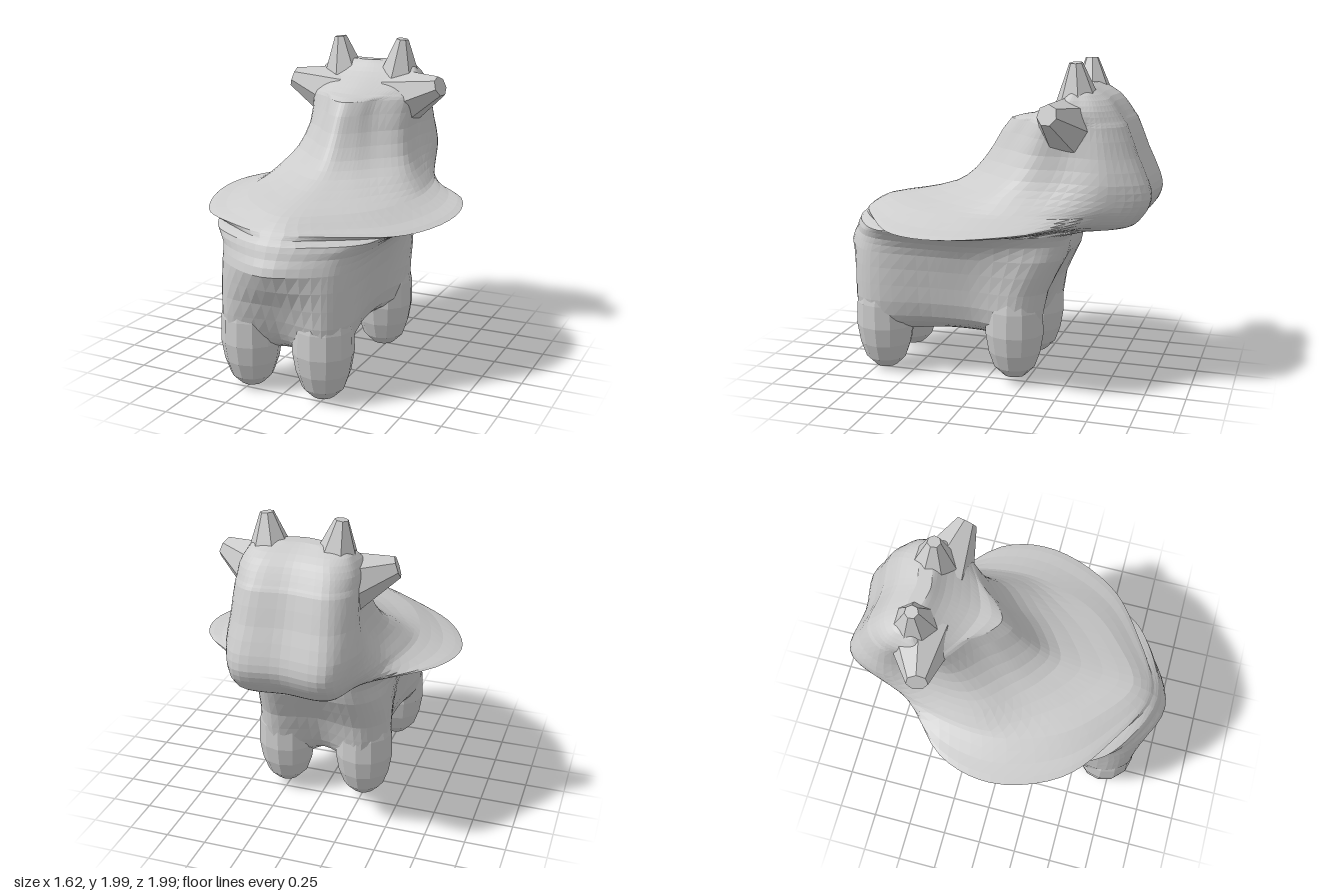
import * as THREE from 'three';

const material = new THREE.MeshStandardMaterial({ color: 0xcccccc, flatShading: true });
const STEPS = 70;

// Body sections: y, zBack, backCorner, flank, frontCorner, zFrontCorner, zRump
const BODY = [
  [0.27, -0.22, 0.20, 0.14, 0.22, 0.70, 0.66],
  [0.32, -0.31, 0.33, 0.25, 0.35, 0.82, 0.74],
  [0.40, -0.35, 0.41, 0.35, 0.40, 0.85, 0.79],
  [0.60, -0.38, 0.42, 0.39, 0.41, 0.86, 0.88],
  [0.81, -0.47, 0.40, 0.43, 0.41, 0.85, 0.99],
  [0.90, -0.49, 0.38, 0.48, 0.43, 0.81, 0.95],
  [0.97, -0.51, 0.40, 0.58, 0.50, 0.76, 0.92],
];

// Skirt, neck and head sections: y, zBack, backHalfWidth, zWidest, halfWidth, zFront, frontHalfWidth
const HEAD = [
  [1.00, -0.77, 0.30, 0.05, 0.70, 0.89, 0.58],
  [1.025, -0.86, 0.36, 0.05, 0.81, 0.87, 0.66],
  [1.05, -0.90, 0.38, 0.03, 0.69, 0.84, 0.55],
  [1.10, -0.94, 0.39, 0.00, 0.55, 0.75, 0.43],
  [1.14, -0.965, 0.39, -0.05, 0.50, 0.55, 0.34],
  [1.21, -0.985, 0.39, -0.10, 0.43, 0.28, 0.27],
  [1.30, -0.965, 0.39, -0.20, 0.37, 0.15, 0.22],
  [1.45, -0.90, 0.37, -0.30, 0.33, 0.035, 0.18],
  [1.63, -0.83, 0.35, -0.38, 0.34, -0.085, 0.17],
  [1.66, -0.81, 0.34, -0.42, 0.36, -0.22, 0.24],
  [1.72, -0.77, 0.33, -0.46, 0.36, -0.34, 0.26],
  [1.78, -0.72, 0.30, -0.50, 0.33, -0.43, 0.24],
  [1.83, -0.64, 0.26, -0.53, 0.28, -0.48, 0.18],
  [1.85, -0.60, 0.16, -0.54, 0.17, -0.50, 0.10],
];

// Mirror a half outline into a smooth closed ring
function ring(y, zBack, half, zFront) {
  const points = [[0, zBack], ...half, [0, zFront], ...half.map(([x, z]) => [-x, z]).reverse()];
  const curve = new THREE.CatmullRomCurve3(points.map(([x, z]) => new THREE.Vector3(x, y, z)), true);
  return curve.getPoints(STEPS).slice(0, STEPS);
}

// The chest is hollowed between the forelegs, lower down
function bodyRing([y, zB, wB, w, wF, zF, zC]) {
  const hollow = 0.25 * Math.max(0, 0.75 - y);
  const half = [[wB * 0.7, zB], [wB, zB + 0.14], [w, 0.07], [w, 0.33], [wF, zF - 0.14], [wF * 0.75, zF]];
  return ring(y, zB + hollow, half, zC);
}

function headRing([y, zB, wB, zW, w, zF, wF]) {
  const mid = (zW + zF) / 2;
  const zCorner = zB + 0.25 * (zW - zB);
  const half = [
    [wB * 0.7, zB], [wB, zCorner], [(wB + w) / 2 + 0.32 * (w - wB), (zCorner + zW) / 2],
    [w, zW], [wF, mid], [wF * 0.58, mid + 0.57 * (zF - mid)],
  ];
  const points = ring(y, zB + 0.015, half, zF);
  // The skirt rim dips towards the rump
  const dip = 0.1 * Math.max(0, 1 - Math.abs(y - 1.03) / 0.12);
  points.forEach((p) => { p.y -= dip * p.z * (p.x / 0.8) ** 2; });
  return points;
}

// Skin the rings with smooth columns, closing both ends on a centre point
function loft(rings) {
  const centre = (r) => r.reduce((sum, p) => sum.add(p), new THREE.Vector3()).divideScalar(STEPS);
  const rows = (rings.length - 1) * 2;
  const vertices = [];
  for (let j = 0; j < STEPS; j++) {
    vertices.push(...new THREE.CatmullRomCurve3(rings.map((r) => r[j])).getPoints(rows));
  }
  const bottom = vertices.push(centre(rings[0])) - 1;
  const top = vertices.push(centre(rings[rings.length - 1])) - 1;
  const index = [];
  for (let j = 0; j < STEPS; j++) {
    const a = j * (rows + 1), b = ((j + 1) % STEPS) * (rows + 1);
    for (let i = 0; i < rows; i++) index.push(a + i, a + i + 1, b + i, b + i, a + i + 1, b + i + 1);
    index.push(bottom, a, b, top, b + rows, a + rows);
  }
  const geometry = new THREE.BufferGeometry().setFromPoints(vertices);
  geometry.setIndex(index);
  geometry.computeVertexNormals();
  return geometry;
}

function add(parent, name, geometry) {
  const mesh = new THREE.Mesh(geometry, material);
  mesh.name = name;
  parent.add(mesh);
  return mesh;
}

// Tapered stub running between two points
function stub(parent, name, from, to, r0, r1) {
  const a = new THREE.Vector3(...from), b = new THREE.Vector3(...to);
  const dir = b.clone().sub(a);
  const mesh = add(parent, name, new THREE.CylinderGeometry(r1, r0, dir.length(), 7, 2));
  mesh.position.copy(a).add(b).multiplyScalar(0.5);
  mesh.quaternion.setFromUnitVectors(new THREE.Vector3(0, 1, 0), dir.normalize());
}

export function createModel() {
  const cow = new THREE.Group();
  cow.name = 'cow';

  // Torso, flared side skirt, neck and head in one skin
  add(cow, 'bodyAndHead', loft([...BODY.map(bodyRing), ...HEAD.map(headRing)]));

  // Stubby legs with blunt feet, fading into the corners of the body
  const legProfile = [[0, 0], [0.07, 0.02], [0.13, 0.08], [0.165, 0.18], [0.185, 0.3], [0.18, 0.45], [0.14, 0.65], [0, 0.78]]
    .map(([r, y]) => new THREE.Vector2(r, y));
  for (const side of [-1, 1]) {
    const sideName = side > 0 ? 'left' : 'right';
    for (const [end, x, y, z] of [['Hind', 0.24, 0, 0.69], ['Fore', 0.26, 0.03, -0.18]]) {
      const leg = add(cow, `${sideName}${end}Leg`, new THREE.LatheGeometry(legProfile, 12));
      leg.position.set(side * x, y, z);
    }
    // Horn: wide foot, slim blunt tip
    stub(cow, `${sideName}Horn`, [side * 0.19, 1.7, -0.55], [side * 0.22, 1.99, -0.535], 0.16, 0.04);
    // Ear: sideways cone with a blunt end
    stub(cow, `${sideName}Ear`, [side * 0.22, 1.61, -0.51], [side * 0.52, 1.715, -0.44], 0.2, 0.065);
  }
  return cow;
}
